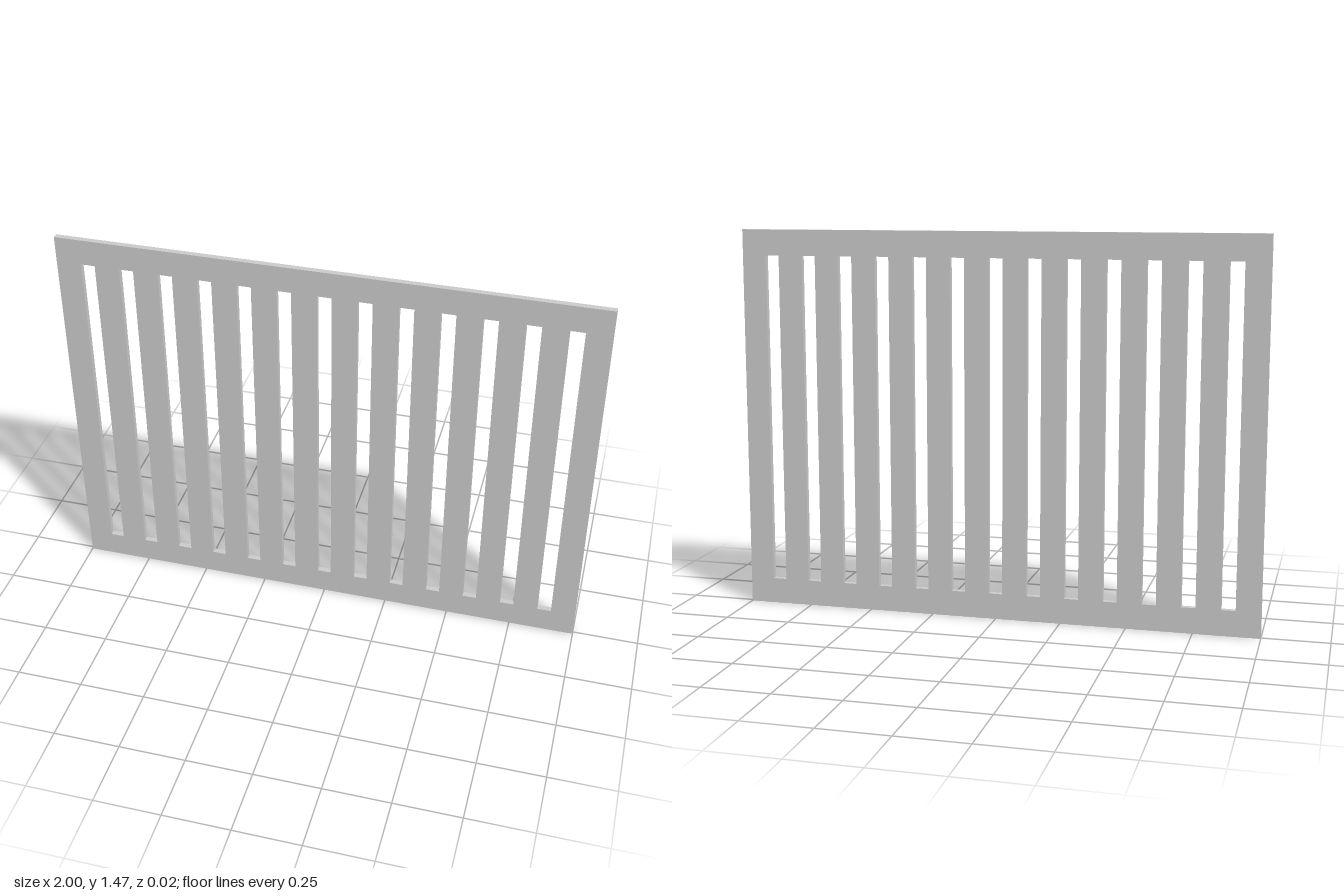
import * as THREE from 'three';

const WIDTH = 2, HEIGHT = 1.467, THICKNESS = 0.022;
const SLOTS = 13, PITCH = 0.1467, SLOT_WIDTH = 0.053, RAIL = 0.098;

// Adds a rectangle outline to a shape or path
function rect(path, x0, y0, x1, y1) {
  path.moveTo(x0, y0);
  path.lineTo(x1, y0);
  path.lineTo(x1, y1);
  path.lineTo(x0, y1);
  path.closePath();
  return path;
}

export function createModel() {
  const group = new THREE.Group();
  group.name = 'slottedPanel';

  // Flat board outline
  const board = rect(new THREE.Shape(), -WIDTH / 2, 0, WIDTH / 2, HEIGHT);

  // Evenly spaced vertical slots cut right through
  for (let i = 0; i < SLOTS; i++) {
    const x = (i - (SLOTS - 1) / 2) * PITCH;
    board.holes.push(rect(new THREE.Path(), x - SLOT_WIDTH / 2, RAIL, x + SLOT_WIDTH / 2, HEIGHT - RAIL));
  }

  const geometry = new THREE.ExtrudeGeometry(board, { depth: THICKNESS, bevelEnabled: false });
  geometry.translate(0, 0, -THICKNESS / 2);

  const panel = new THREE.Mesh(geometry, new THREE.MeshStandardMaterial({ color: 0xcccccc }));
  panel.name = 'panel';
  group.add(panel);
  return group;
}
